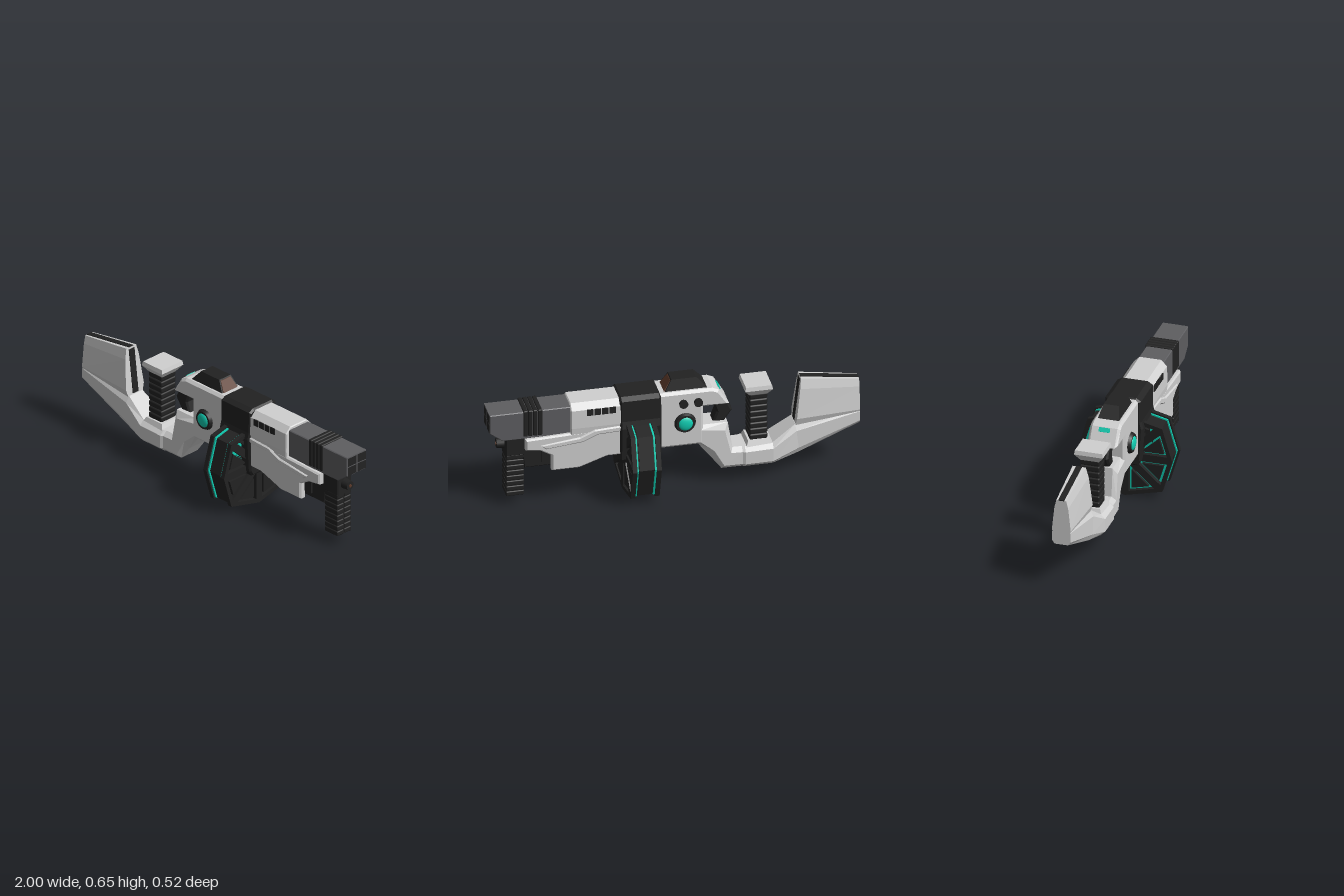
import * as THREE from 'three';
import { RoundedBoxGeometry } from 'three/addons/geometries/RoundedBoxGeometry.js';

const mat = (name, color) => {
  const m = new THREE.MeshStandardMaterial({ color });
  m.name = name;
  return m;
};

export function createModel() {
  const model = new THREE.Group();
  const shell = mat('pale shell', 0xd0d0d0);
  const black = mat('black', 0x222222);
  const grey = mat('steel grey', 0x5e5e61);
  const teal = mat('teal glow', 0x10cdb2);
  const brown = mat('brown lens', 0x5c3a2b);

  const add = (name, geo, material, x = 0, y = 0, z = 0) => {
    const m = new THREE.Mesh(geo, material);
    m.name = name;
    m.position.set(x, y, z);
    model.add(m);
    return m;
  };
  // box given by its limits
  const box = (name, material, x0, x1, y0, y1, z0, z1) =>
    add(name, new THREE.BoxGeometry(x1 - x0, y1 - y0, z1 - z0), material,
      (x0 + x1) / 2, (y0 + y1) / 2, (z0 + z1) / 2);
  const toShape = (pts) => new THREE.Shape(pts.map(([x, y]) => new THREE.Vector2(x, y)));
  // outline extruded to a total thickness, centred, with chamfered edges
  const slab = (shape, thick, b = 0) => new THREE.ExtrudeGeometry(shape, {
    depth: thick - 2 * b, bevelEnabled: b > 0, bevelThickness: b, bevelSize: b,
    bevelOffset: -b, bevelSegments: 1,
  }).translate(0, 0, b - thick / 2);
  const plate = (name, material, pts, z0, z1, b = 0) =>
    add(name, slab(toShape(pts), z1 - z0, b), material, 0, 0, (z0 + z1) / 2);
  // same, but with the outline in (z, y) and the thickness along x
  const crossSlab = (name, material, shape, x0, x1, b = 0) =>
    add(name, slab(shape, x1 - x0, b).rotateY(-Math.PI / 2), material, (x0 + x1) / 2);

  // chamfered loft; station = [xBottom, yBottom, xTop, yTop, halfWidthBottom, halfWidthTop]
  const loft = (name, material, stations) => {
    const rings = stations.map(([xb, yb, xt, yt, wb, wt]) => {
      const side = [[0, wb * 0.72], [0.2, wb], [0.8, wt], [1, wt * 0.72]];
      const all = [...side, ...side.slice().reverse().map(([u, w]) => [u, -w])];
      return all.map(([u, w]) => [xb + (xt - xb) * u, yb + (yt - yb) * u, w]);
    });
    const pos = [];
    const tri = (...p) => p.forEach((q) => pos.push(...q));
    for (let i = 0; i + 1 < rings.length; i++) {
      for (let j = 0; j < 8; j++) {
        const k = (j + 1) % 8, A = rings[i], B = rings[i + 1];
        tri(A[j], B[j], B[k]);
        tri(A[j], B[k], A[k]);
      }
    }
    const first = rings[0], last = rings[rings.length - 1];
    for (let j = 1; j < 7; j++) {
      tri(first[0], first[j], first[j + 1]);
      tri(last[0], last[j + 1], last[j]);
    }
    const g = new THREE.BufferGeometry();
    g.setAttribute('position', new THREE.Float32BufferAttribute(pos, 3));
    g.computeVertexNormals();
    return add(name, g, material);
  };
  // box whose top is a different rectangle from its base
  const taper = (name, material, [bx0, bx1, bz], [tx0, tx1, tz], y0, y1) => {
    const g = new THREE.BoxGeometry(1, 1, 1).toNonIndexed(), p = g.attributes.position;
    for (let i = 0; i < p.count; i++) {
      const up = p.getY(i) > 0, right = p.getX(i) > 0, s = Math.sign(p.getZ(i));
      p.setXYZ(i, up ? (right ? tx1 : tx0) : (right ? bx1 : bx0), up ? y1 : y0, s * (up ? tz : bz));
    }
    g.computeVertexNormals();
    return add(name, g, material);
  };

  // shoulder stock: curved spine and tall rear panel
  loft('stockSpine', shell, [
    [-1, 0.26, -1, 0.35, 0.05, 0.05], [-0.67, 0.13, -0.65, 0.3, 0.068, 0.068],
    [-0.525, 0.09, -0.525, 0.215, 0.093, 0.093], [-0.375, 0.09, -0.375, 0.21, 0.093, 0.093],
    [-0.36, 0.09, -0.36, 0.21, 0.085, 0.085], [-0.25, 0.09, -0.31, 0.21, 0.083, 0.083],
    [-0.19, 0.17, -0.285, 0.365, 0.08, 0.08], [-0.12, 0.26, -0.14, 0.365, 0.08, 0.08],
  ]);
  loft('stockPanel', shell, [
    [-1, 0.3, -1, 0.52, 0.052, 0.038], [-0.65, 0.28, -0.685, 0.565, 0.066, 0.05],
  ]);
  const topStrip = box('stockTopStrip', black, -0.159, 0.159, -0.003, 0.003, -0.016, 0.016);
  topStrip.position.set(-0.843, 0.543, 0);
  topStrip.rotation.z = Math.atan2(0.045, 0.315);
  const edgeStrip = box('stockEdgeStrip', black, -0.003, 0.003, -0.125, 0.125, -0.02, 0.02);
  edgeStrip.position.set(-0.668, 0.43, 0);
  edgeStrip.rotation.z = Math.atan2(0.035, 0.285);

  // rear grip with ribs, collar and flared cap
  taper('gripCollar', shell, [-0.53, -0.38, 0.075], [-0.51, -0.395, 0.06], 0.2, 0.235);
  box('rearGripCore', black, -0.495, -0.41, 0.22, 0.52, -0.045, 0.045);
  for (let i = 0; i < 8; i++) {
    add('rearGripRib', new RoundedBoxGeometry(0.098, 0.032, 0.108, 1, 0.008), black, -0.453, 0.251 + i * 0.035, 0);
  }
  taper('gripCapFlare', shell, [-0.5, -0.405, 0.05], [-0.525, -0.375, 0.08], 0.505, 0.545);
  taper('gripCap', shell, [-0.525, -0.375, 0.08], [-0.52, -0.38, 0.076], 0.545, 0.568);

  // receiver
  plate('receiver', shell, [[-0.15, 0.26], [0.1, 0.26], [0.1, 0.59], [-0.2, 0.59], [-0.235, 0.575],
    [-0.29, 0.485], [-0.15, 0.485]], -0.083, 0.083, 0.014);
  plate('rearHook', black, [[-0.27, 0.36], [-0.21, 0.365], [-0.23, 0.42], [-0.21, 0.487],
    [-0.285, 0.487], [-0.315, 0.425]], -0.04, 0.04, 0.01);
  const rearLight = box('rearLight', teal, -0.012, 0.012, -0.004, 0.004, -0.03, 0.03);
  rearLight.position.set(-0.244, 0.563, 0);
  rearLight.rotation.z = Math.atan2(0.09, 0.055);

  // sight with a lens on its front slope
  taper('sight', black, [-0.178, 0.055, 0.06], [-0.12, 0.015, 0.042], 0.585, 0.65);
  taper('sightLens', brown, [0.03, 0.059, 0.051], [0, 0.021, 0.036], 0.588, 0.644);

  // glowing dials on both sides
  for (const s of [1, -1]) {
    const ring = add('dialRing', new THREE.CylinderGeometry(0.05, 0.06, 0.02, 20), black, -0.05, 0.405, s * 0.09);
    ring.rotation.x = s * Math.PI / 2;
    const glow = add('dialGlow', new THREE.SphereGeometry(0.04, 16, 10), teal, -0.05, 0.405, s * 0.097);
    glow.scale.z = 0.35;
  }
  for (const x of [-0.12, -0.04]) {
    add('sideButton', new THREE.CylinderGeometry(0.022, 0.024, 0.02, 14), black, x, 0.523, -0.09).rotation.x = Math.PI / 2;
  }

  // drum housing
  crossSlab('drumHousing', black, toShape([[-0.08, 0.2], [0.08, 0.2], [0.098, 0.23], [0.11, 0.42], [0.1, 0.46],
    [0.098, 0.58], [0.07, 0.597], [-0.07, 0.597], [-0.098, 0.58], [-0.1, 0.46], [-0.11, 0.42], [-0.098, 0.23]]),
  0.08, 0.303, 0.01);

  // drum: eight sided, glow shows through the gap around each wedge
  const cy = 0.236;
  const rim = [[0, -0.235], [0.205, -0.185], [0.26, 0], [0.205, 0.185],
    [0, 0.235], [-0.205, 0.185], [-0.26, 0], [-0.205, -0.185]];
  const octagon = (k) => toShape(rim.map(([z, y]) => [z * k, cy + y * k]));
  const wedge = (i, k) => {
    const a = rim[i], b = rim[(i + 1) % 8];
    const tri = [[0, 0], a, b].map(([z, y]) => new THREE.Vector2(z, y));
    const len = (p, q) => p.distanceTo(q);
    const w = [len(tri[1], tri[2]), len(tri[2], tri[0]), len(tri[0], tri[1])];
    const sum = w[0] + w[1] + w[2];
    const centre = new THREE.Vector2();
    tri.forEach((p, n) => centre.addScaledVector(p, w[n] / sum));
    return tri.map((p) => {
      const q = p.clone().sub(centre).multiplyScalar(k).add(centre);
      return [q.x, q.y + cy];
    });
  };
  crossSlab('drumCore', black, octagon(0.95), 0.155, 0.23);
  for (const [x0, x1, g0, g1] of [[0.115, 0.14, 0.14, 0.149], [0.246, 0.271, 0.237, 0.246]]) {
    const face = octagon(1);
    for (let i = 0; i < 8; i++) {
      face.holes.push(new THREE.Path(wedge(i, 0.68).map(([z, y]) => new THREE.Vector2(z, y))));
      crossSlab('drumWedge', black, toShape(wedge(i, 0.46)), x0 + 0.004, x1 - 0.004);
    }
    crossSlab('drumFace', black, face, x0, x1);
    crossSlab('drumGlow', teal, octagon(0.965), g0, g1);
  }
  crossSlab('drumSpacer', black, octagon(0.93), 0.14, 0.246);

  // fore body
  box('foreCore', black, 0.28, 0.72, 0.25, 0.43, -0.06, 0.06);
  crossSlab('foreTop', shell, toShape([[-0.09, 0.4], [0.09, 0.4], [0.095, 0.45], [0.092, 0.555], [0.06, 0.588],
    [-0.06, 0.588], [-0.092, 0.555], [-0.095, 0.45]]), 0.29, 0.567, 0.005);
  for (const s of [1, -1]) {
    const zr = (a, b) => (s > 0 ? [a, b] : [-b, -a]);
    plate('sidePanel', shell, [[0.29, 0.26], [0.37, 0.26], [0.52, 0.208], [0.67, 0.208], [0.67, 0.3],
      [0.73, 0.335], [0.81, 0.345], [0.81, 0.41], [0.29, 0.43]], ...zr(0.05, 0.092), 0.008);
    plate('sideRidge', shell, [[0.29, 0.405], [0.42, 0.4], [0.5, 0.365], [0.7, 0.345], [0.73, 0.37],
      [0.52, 0.395], [0.44, 0.43], [0.29, 0.438]], ...zr(0.08, 0.101), 0.007);
    for (let i = 0; i < 4; i++) {
      const x = 0.325 + i * 0.041;
      box('ventSlot', black, x, x + 0.034, 0.52, 0.556, ...zr(0.09, 0.097));
    }
  }

  // square barrel block with four bores
  plate('barrelBlock', grey, [[0.55, 0.41], [0.93, 0.41], [1, 0.462], [1, 0.572], [0.55, 0.572]], -0.072, 0.072, 0.004);
  for (const z of [-0.035, 0.035]) {
    for (const y of [0.4875, 0.541]) {
      box('bore', black, 0.996, 1.001, y - 0.024, y + 0.024, z - 0.03, z + 0.03);
    }
  }
  for (let i = 0; i < 4; i++) {
    add('barrelBand', new RoundedBoxGeometry(0.024, 0.155, 0.156, 1, 0.006), black, 0.729 + i * 0.026, 0.502, 0);
  }

  // front mount, pointer and ribbed foregrip
  plate('gripMount', black, [[0.66, 0.222], [0.81, 0.222], [0.82, 0.3], [0.91, 0.3], [0.91, 0.415], [0.66, 0.415]],
    -0.052, 0.052, 0.006);
  add('pointer', new THREE.CylinderGeometry(0.025, 0.03, 0.045, 12), black, 0.928, 0.362, 0).rotation.z = -Math.PI / 2;
  add('pointerLens', new THREE.CylinderGeometry(0.009, 0.009, 0.006, 10), brown, 0.951, 0.362, 0).rotation.z = -Math.PI / 2;
  box('foregripCore', black, 0.815, 0.9, 0.065, 0.31, -0.046, 0.046);
  for (let i = 0; i < 8; i++) {
    for (const z of [-0.026, 0.026]) {
      add('foregripRib', new RoundedBoxGeometry(0.098, 0.028, 0.05, 1, 0.006), black, 0.858, 0.073 + i * 0.0315, z);
    }
  }
  return model;
}
